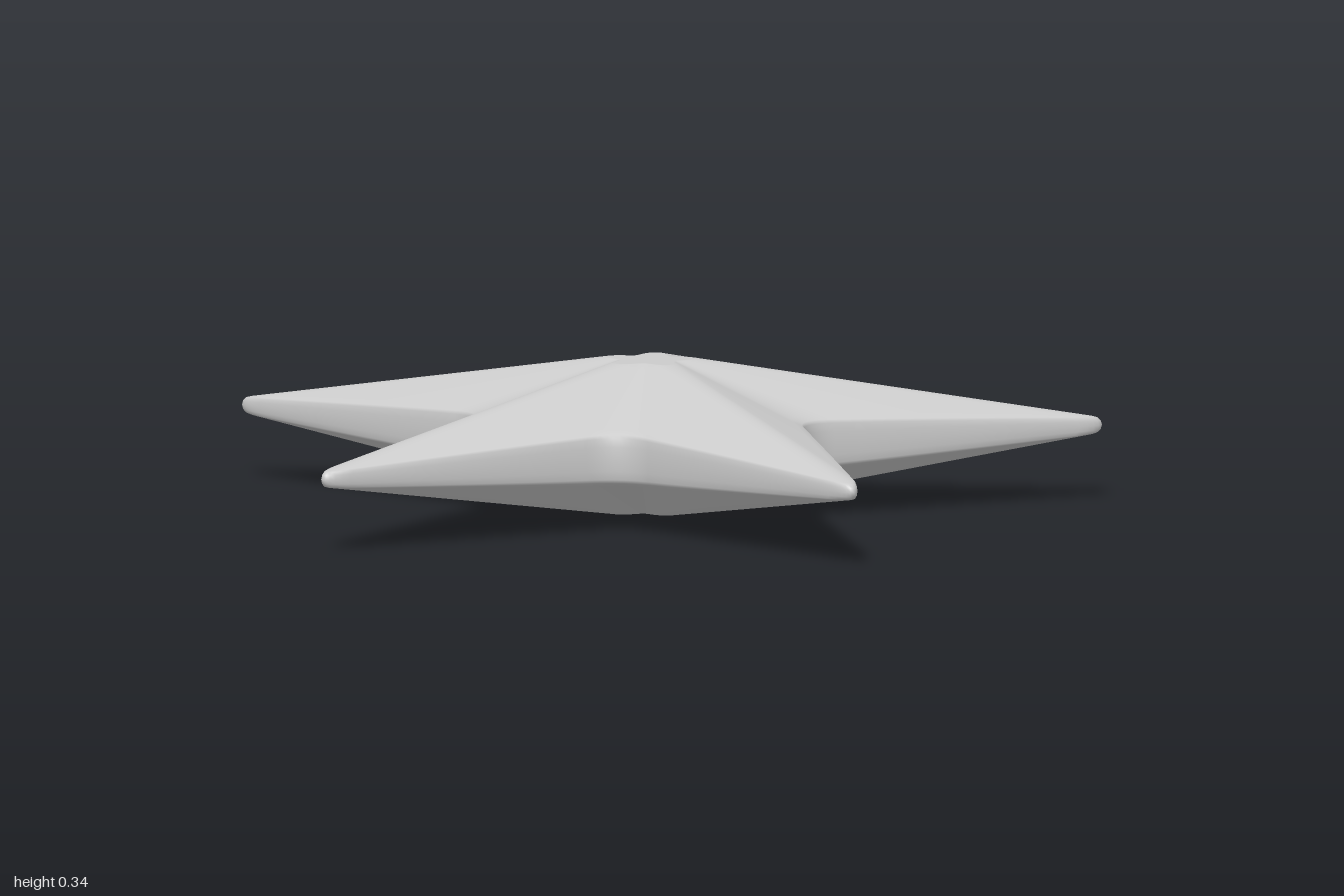
import * as THREE from 'three';

const HALF = 0.1725;      // half thickness at the middle
const CENTRE_Z = 0.097;   // hub position
const TIP = 1.1, NOTCH = 0.385;  // radii of the unrounded corners
const STEPS = 10;

const polar = (r, a) => new THREE.Vector2(Math.sin(a) * r, -Math.cos(a) * r);

// One ring of the star: rounded tips and notches joined by straight edges
function starOutline() {
  const pts = [];
  const corner = k => polar(k % 2 ? NOTCH : TIP, k * Math.PI / 5);
  for (let k = 0; k < 10; k++) {
    const c = corner(k), prev = corner(k + 9), next = corner(k + 1);
    const cut = k % 2 ? 0.09 : 0.12, nextCut = k % 2 ? 0.12 : 0.09;
    const toward = (a, b, d) => a.clone().add(b.clone().sub(a).setLength(d));
    const start = toward(c, prev, cut), end = toward(c, next, cut);
    const curve = new THREE.QuadraticBezierCurve(start, c, end);
    for (let i = 0; i <= STEPS; i++) pts.push(curve.getPoint(i / STEPS));
    const edgeEnd = toward(next, c, nextCut);
    for (let i = 1; i < STEPS; i++) pts.push(end.clone().lerp(edgeEnd, i / STEPS));
  }
  return pts;
}

function starGeometry() {
  const outline = starOutline(), n = outline.length;
  // Small rounded hub plateau that the arms slope down from
  const hub = outline.map((p, i) => {
    const a = (i - STEPS / 2) / n * Math.PI * 2;
    return polar(0.09 + 0.02 * Math.cos(5 * a), a);
  });
  // The rim is thin at the tips and thicker in the notches
  const rimHalf = outline.map(p =>
    THREE.MathUtils.mapLinear(p.length(), 0.41, 1.04, 0.056, 0.02));

  // Upper half from the hub centre out to the rim
  const upper = [];
  const ring = f => upper.push(outline.map((p, i) => f(p, i)));
  for (const s of [0, 0.5, 0.9]) ring((p, i) => [hub[i].x * s, HALF, hub[i].y * s]);
  for (let j = 0; j <= 12; j++) {
    const t = j / 12;
    ring((p, i) => {
      const q = hub[i].clone().lerp(p.clone().multiplyScalar(0.98), t);
      return [q.x, THREE.MathUtils.lerp(HALF, rimHalf[i], t), q.y];
    });
  }
  for (const [s, h] of [[0.99, 0.85], [0.997, 0.5]])
    ring((p, i) => [p.x * s, rimHalf[i] * h, p.y * s]);

  // Equator, then the mirrored lower half
  const rings = [...upper, outline.map(p => [p.x, 0, p.y]),
    ...upper.slice().reverse().map(r => r.map(([x, y, z]) => [x, -y, z]))];

  const index = [];
  for (let l = 0; l < rings.length - 1; l++) {
    for (let i = 0; i < n; i++) {
      const a = l * n + i, b = l * n + (i + 1) % n;
      index.push(a, b, a + n, b, b + n, a + n);
    }
  }
  const geo = new THREE.BufferGeometry();
  geo.setAttribute('position', new THREE.Float32BufferAttribute(rings.flat(2), 3));
  geo.setIndex(index);
  geo.computeVertexNormals();
  // The collapsed rings at both poles face straight up and down
  const normal = geo.attributes.normal, last = (rings.length - 1) * n;
  for (let i = 0; i < n; i++) {
    normal.setXYZ(i, 0, 1, 0);
    normal.setXYZ(last + i, 0, -1, 0);
  }
  return geo;
}

export function createModel() {
  const group = new THREE.Group();
  group.name = 'star';
  const body = new THREE.Mesh(starGeometry(),
    new THREE.MeshStandardMaterial({ color: 0xcccccc }));
  body.name = 'starBody';
  body.position.set(0, HALF, CENTRE_Z);
  group.add(body);
  return group;
}
